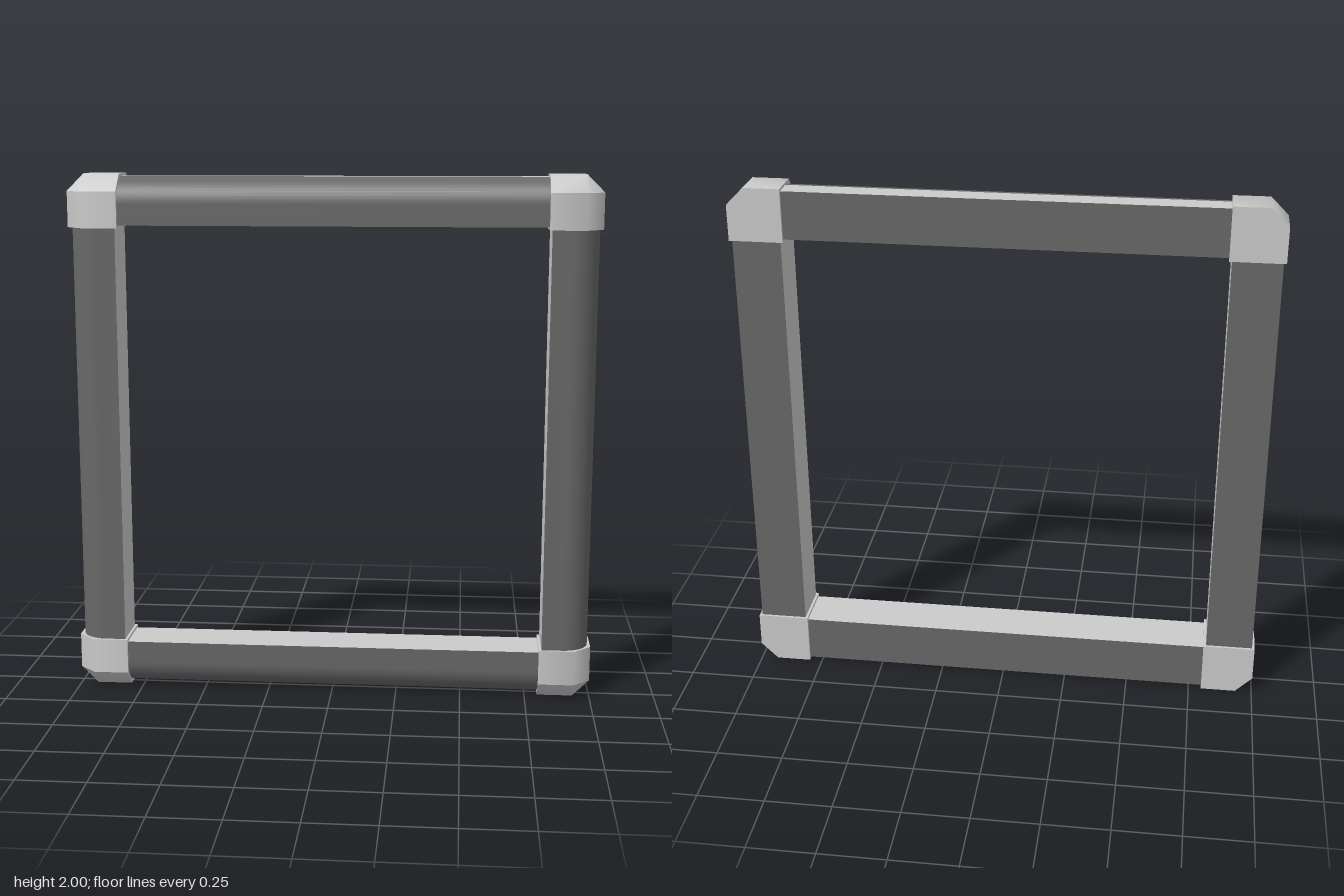
import * as THREE from 'three';
import { toCreasedNormals } from 'three/addons/utils/BufferGeometryUtils.js';
import { ConvexGeometry } from 'three/addons/geometries/ConvexGeometry.js';

const OUT = 1, IN = 0.8, HALF = 0.1, BEVEL = 0.065; // corner block extents and bevel
const grey = new THREE.MeshStandardMaterial({ color: 0xcccccc });
const dark = new THREE.MeshStandardMaterial({ color: 0x686868 });

function addMesh(parent, geometry, material, name) {
  const mesh = new THREE.Mesh(geometry, material);
  mesh.name = name;
  parent.add(mesh);
}

// Face running the length of a bar, following a profile of [y, z] points
function strip(profile) {
  const geometry = new THREE.PlaneGeometry(2 * IN, 1, 1, profile.length - 1);
  const position = geometry.attributes.position;
  for (let i = 0; i < position.count; i++) {
    const [y, z] = profile[Math.floor(i / 2)];
    position.setXYZ(i, position.getX(i), y, z);
  }
  geometry.computeVertexNormals();
  return geometry;
}

// Bar along x on the top side: square section with its outer front edge rounded
function makeBar(name, outerMaterial) {
  const r = 0.1, inner = 0.81, outer = 0.99, half = 0.09, steps = 12;
  const front = [];
  for (let i = 0; i <= steps; i++) {
    const a = (i / steps) * Math.PI / 2;
    front.push([outer - r + r * Math.cos(a), half - r + r * Math.sin(a)]);
  }
  front.push([inner, half]);

  const bar = new THREE.Group();
  bar.name = name;
  addMesh(bar, strip(front), dark, 'barFront');
  addMesh(bar, strip([[inner, -half], [outer, -half]]), dark, 'barBack');
  addMesh(bar, strip([[outer, -half], [outer, half - r]]), outerMaterial, 'barOuterFace');
  addMesh(bar, strip([[inner, half], [inner, -half]]), grey, 'barInnerFace');
  return bar;
}

// Corner block outline at one height, with the outer front edge bevelled
function outline(sx, y) {
  return [
    [IN, -HALF], [OUT, -HALF], [OUT, HALF - BEVEL], [OUT - BEVEL, HALF], [IN, HALF],
  ].map(([x, z]) => new THREE.Vector3(sx * x, y, z));
}

// Small square face that closes the tapered end of a corner block
function endFace(sx, y) {
  const points = [];
  for (const x of [IN, OUT - BEVEL])
    for (const z of [-HALF, HALF - BEVEL]) points.push(new THREE.Vector3(sx * x, y, z));
  return points;
}

// Solid around the points, smooth across its bevels
function block(points) {
  return toCreasedNormals(new ConvexGeometry(points), 0.85);
}

export function createModel() {
  const model = new THREE.Group();
  model.name = 'squareFrame';
  const frame = new THREE.Group();
  frame.name = 'frame';
  frame.position.y = 1; // built around its centre, then stood on the ground
  model.add(frame);

  // Four bars, turned around the centre
  [['topBar', grey], ['leftBar', dark], ['bottomBar', grey], ['rightBar', grey]]
    .forEach(([name, outerMaterial], i) => {
      const bar = makeBar(name, outerMaterial);
      bar.rotation.z = -i * Math.PI / 2;
      frame.add(bar);
    });

  // Four corner blocks: a straight collar and a tapered end
  for (const sy of [1, -1]) {
    for (const sx of [1, -1]) {
      const corner = new THREE.Group();
      corner.name = (sy > 0 ? 'top' : 'bottom') + (sx > 0 ? 'Left' : 'Right') + 'Corner';
      const bend = sy * (OUT - BEVEL);
      const collar = [...outline(sx, sy * IN), ...outline(sx, bend)];
      const taper = [...outline(sx, bend), ...endFace(sx, sy * OUT)];
      addMesh(corner, block(collar), grey, 'cornerCollar');
      addMesh(corner, block(taper), grey, 'cornerTaper');
      frame.add(corner);
    }
  }
  return model;
}
